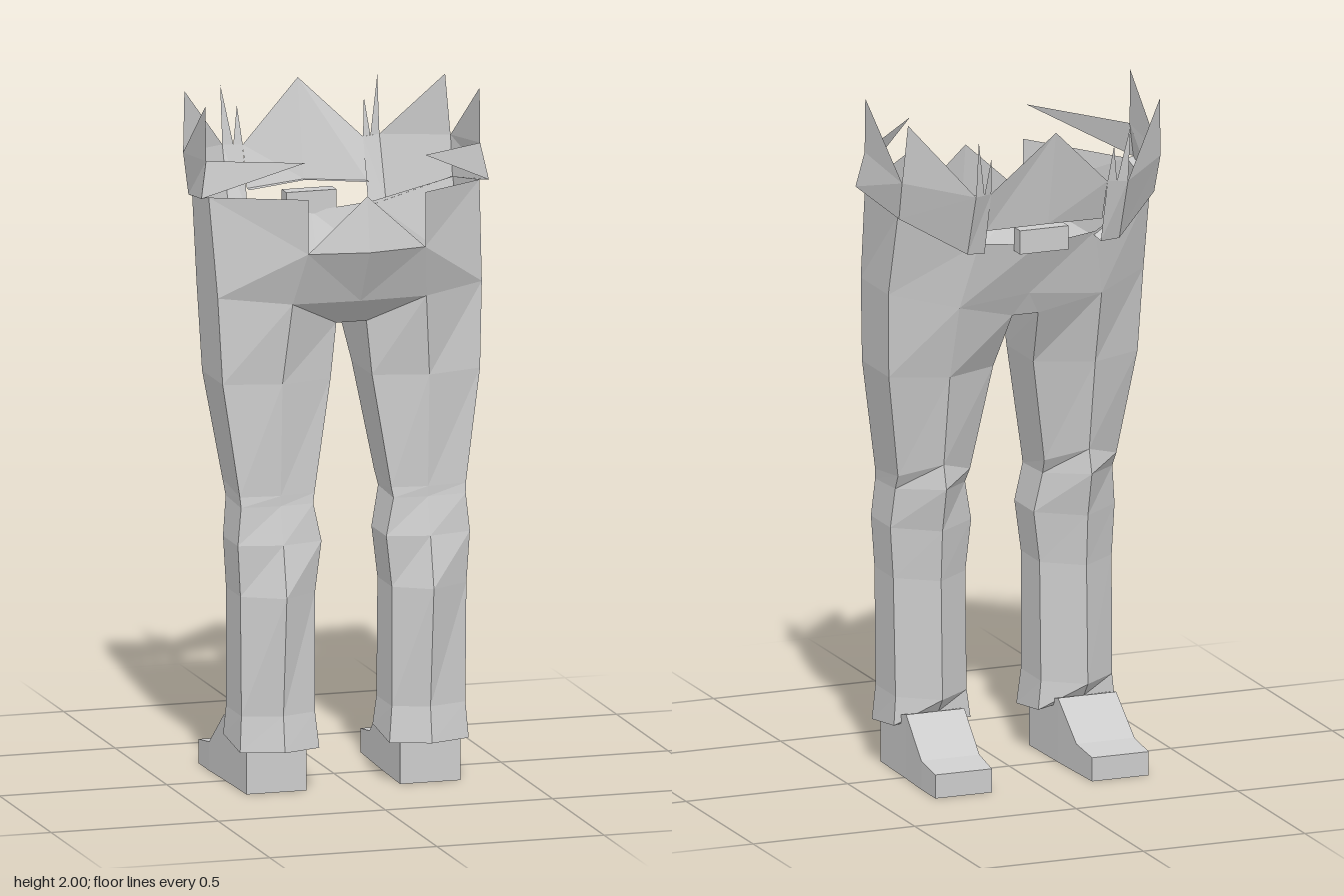
import * as THREE from 'three';

const cloth = new THREE.MeshStandardMaterial({ color: 0xcccccc, flatShading: true, side: THREE.DoubleSide });
cloth.name = 'plain grey';

// Mesh from convex polygons given as lists of [x, y, z] corners; mirror: 0 right as given, 1 mirrored, 2 both
function facet(name, polygons, mirror = 2) {
  const pos = [];
  const add = (poly, s) => {
    const p = s < 0 ? [...poly].reverse() : poly;
    for (let i = 1; i < p.length - 1; i++)
      for (const v of [p[0], p[i], p[i + 1]]) pos.push(v[0] * s, v[1], v[2]);
  };
  for (const poly of polygons) {
    if (mirror !== 1) add(poly, 1);
    if (mirror !== 0) add(poly, -1);
  }
  const g = new THREE.BufferGeometry();
  g.setAttribute('position', new THREE.Float32BufferAttribute(pos, 3));
  g.computeVertexNormals();
  const m = new THREE.Mesh(g, cloth);
  m.name = name;
  return m;
}

// Quads between successive closed rings, with optional end caps
function loft(rings, capStart, capEnd) {
  const out = [];
  for (let r = 0; r < rings.length - 1; r++) {
    const a = rings[r], b = rings[r + 1], n = a.length;
    for (let i = 0; i < n; i++) {
      const j = (i + 1) % n;
      out.push([a[i], a[j], b[j], b[i]]);
    }
  }
  if (capStart) out.push([...rings[0]].reverse());
  if (capEnd) out.push(rings[rings.length - 1]);
  return out;
}

// Top of the thigh, shared by trouser legs and hips
const B = [0.2, 1.44, 0.25], OB = [0.395, 1.45, 0.155], OF = [0.395, 1.45, -0.05];
const F = [0.22, 1.42, -0.16], IF = [0.04, 1.37, -0.12], IB = [0.045, 1.36, 0.17];

// Six-sided trouser sections: back y, front y, inner x, outer x, back z, side back z, side front z, front z
const legRings = [
  [0.125, 0.19, 0.105, 0.342, 0.24, 0.2, 0.035, -0.015],
  [0.23, 0.23, 0.115, 0.335, 0.225, 0.19, 0.04, -0.045],
  [0.58, 0.58, 0.115, 0.338, 0.258, 0.19, 0.05, -0.035],
  [0.73, 0.73, 0.097, 0.347, 0.225, 0.195, 0.05, -0.045],
  [0.84, 0.86, 0.12, 0.336, 0.2, 0.19, 0.04, -0.075],
  [0.87, 0.93, 0.115, 0.338, 0.2, 0.185, 0.015, -0.055],
  [1.2, 1.2, 0.062, 0.385, 0.215, 0.17, -0.03, -0.1],
].map(([yb, yf, xi, xo, zb, zsb, zsf, zf]) => {
  const ym = (yb * 2 + yf) / 3;
  return [[0.22, yb, zb], [xo, yb, zsb], [xo, ym, zsf], [0.225, yf, zf], [xi, ym, zsf], [xi, yb, zsb]];
});
legRings.push([B, OB, OF, F, IF, IB]);

// Shoe sections from heel to toe: z, inner x, outer x, top y
const shoeRings = [
  [0.19, 0.14, 0.32, 0.14],
  [-0.015, 0.145, 0.325, 0.19],
  [-0.14, 0.15, 0.33, 0.085],
  [-0.245, 0.155, 0.33, 0.07],
].map(([z, xi, xo, y]) => [[xi, 0, z], [xi, y, z], [xo, y, z], [xo, 0, z]]);

function hips() {
  // Open, torn waist edge
  const peak = [0, 1.76, 0.325], fold = [0, 1.6, 0.35], notch = [0.175, 1.6, 0.32];
  const R1 = [0.175, 1.76, 0.32], R2 = [0.405, 1.735, 0.1], R3 = [0.39, 1.7, -0.11];
  const R4 = [0.18, 1.62, -0.21], R5 = [0, 1.6, -0.22];
  const seat = [0, 1.44, 0.26], fly = [0, 1.44, -0.15];
  const flip = ([x, y, z]) => [-x, y, z];
  const group = new THREE.Group();
  group.name = 'hips';
  group.add(
    facet('seat', [
      [peak, fold, notch], [fold, seat, notch], [notch, seat, B], [seat, IB, B],
      [notch, B, OB], [notch, OB, R2], [notch, R2, R1],
    ]),
    facet('hipSidesAndFront', [
      [OB, OF, R3, R2], [OF, F, R4, R3], [F, IF, fly], [F, fly, R5, R4],
    ]),
    facet('crotch', [
      [IF, IB, flip(IB), flip(IF)], [fly, IF, flip(IF)], [seat, flip(IB), IB],
    ], 0),
  );
  return group;
}

function tornShirt() {
  const group = new THREE.Group();
  group.name = 'tornShirt';
  // Lower hem points and torn upper points, from the side round to the middle
  const h1 = [0.43, 1.735, 0.11], h2 = [0.395, 1.695, -0.13], h3 = [0.235, 1.605, -0.255], h4 = [0.18, 1.6, -0.25];
  const t1 = [0.41, 1.84, 0.09], t2 = [0.4, 1.81, -0.165], t3 = [0.235, 1.79, -0.32], t4 = [0.18, 1.79, -0.3];
  const c1 = [0.18, 1.67, -0.26], c0 = [0, 1.68, -0.29];
  group.add(
    facet('sidePanel', [[h1, h2, t2, t1], [t1, t2, [0.41, 2, 0.085]]]),
    facet('sideShred', [[h1, t1, [0.18, 1.865, 0.305]]]),
    facet('frontPanel', [
      [h2, h3, t3, t2], [t2, t3, [0.39, 1.985, -0.185]],
      [h3, h4, t4, t3], [t3, [0.205, 1.79, -0.31], [0.235, 1.96, -0.34]], [t4, [0.205, 1.79, -0.31], [0.19, 1.9, -0.325]],
    ]),
    facet('hemFold', [
      [h1, h2, [0.39, 1.7, -0.11], [0.405, 1.735, 0.1]],
      [h2, h4, [0.175, 1.61, -0.205], [0.385, 1.7, -0.11]],
      [c1, c0, [0, 1.68, -0.275], [0.18, 1.67, -0.235]],
    ]),
    facet('middlePanel', [[c1, c0, [0, 1.965, -0.35], t4]]),
  );
  return group;
}

export function createModel() {
  const model = new THREE.Group();
  model.name = 'standingLegs';
  ['rightLeg', 'leftLeg'].forEach((name, i) => {
    const leg = new THREE.Group();
    leg.name = i ? 'rightLeg' : 'leftLeg';
    // Ring order runs anticlockwise from above for outward faces
    leg.add(facet('trouserLeg', loft(legRings, true, false), i));
    leg.add(facet('shoe', loft(shoeRings, true, true), i));
    model.add(leg);
  });
  model.add(hips(), tornShirt());
  // Belt buckle
  const buckle = new THREE.Mesh(new THREE.BoxGeometry(0.15, 0.07, 0.045), cloth);
  buckle.name = 'beltBuckle';
  buckle.position.set(0, 1.625, -0.24);
  model.add(buckle);
  return model;
}
